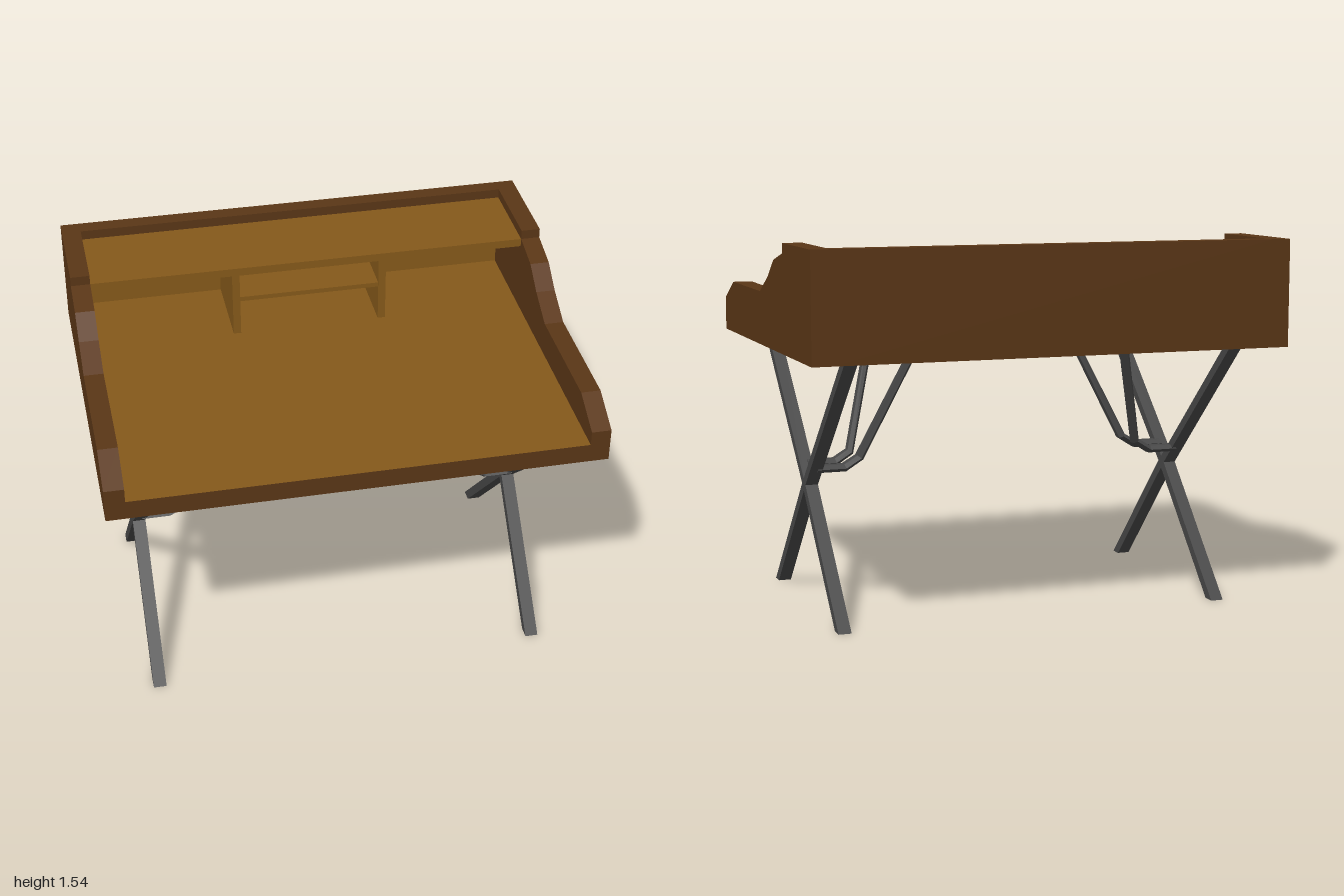
import * as THREE from 'three';

const brown = new THREE.MeshStandardMaterial({ color: 0x5a3616, flatShading: true });
const tan = new THREE.MeshStandardMaterial({ color: 0x85591a, flatShading: true });
const steel = new THREE.MeshStandardMaterial({ color: 0x484848, flatShading: true });

const D = 0.747;      // half depth of the desk body
const IN = 0.92;      // inner face of the side panels
const BACK = -0.68;   // inner face of the back wall
const SHELF = -0.315; // front edge of the upper shelf

export function createModel() {
  const desk = new THREE.Group();
  desk.name = 'writingDesk';

  const add = (name, geometry, material) => {
    const mesh = new THREE.Mesh(geometry, material);
    mesh.name = name;
    desk.add(mesh);
    return mesh;
  };
  // box given by its extents
  const box = (name, x0, x1, y0, y1, z0, z1, material) =>
    add(name, new THREE.BoxGeometry(x1 - x0, y1 - y0, z1 - z0)
      .translate((x0 + x1) / 2, (y0 + y1) / 2, (z0 + z1) / 2), material);

  // writing surface: light top, dark edges
  box('writingSurface', -IN, IN, 1.1, 1.18, BACK, D, [brown, brown, tan, brown, brown, brown]);
  box('backWall', -IN, IN, 1.1, 1.54, -D, BACK, brown);

  // stepped side panels, outlined in (z, y)
  const outline = [[D, 1.1], [D, 1.24], [0.585, 1.32], [0.08, 1.32], [-0.06, 1.39], [-0.165, 1.465],
    [SHELF, 1.5], [SHELF, 1.54], [-D, 1.54], [-D, 1.1]];
  const profile = new THREE.Shape(outline.map(([z, y]) => new THREE.Vector2(-z, y)));
  for (const [name, x] of [['leftSidePanel', IN], ['rightSidePanel', -1]]) {
    const g = new THREE.ExtrudeGeometry(profile, { depth: 1 - IN, bevelEnabled: false });
    add(name, g.rotateY(Math.PI / 2).translate(x, 0, 0), brown);
  }

  // pigeonholes under the upper shelf
  box('upperShelf', -IN, IN, 1.465, 1.5, BACK, SHELF, tan);
  box('pigeonholeBack', -IN, IN, 1.18, 1.465, BACK, BACK + 0.005, tan);
  box('rightDivider', -0.33, -0.298, 1.18, 1.465, BACK, SHELF, tan);
  box('leftDivider', 0.298, 0.33, 1.18, 1.465, BACK, SHELF, tan);
  box('smallShelf', -0.298, 0.298, 1.337, 1.357, BACK, SHELF - 0.003, tan);

  // crossed legs and bent braces, mirrored about x = 0 and z = MID
  const MID = 0.012;
  const square = [[-1, -1], [1, -1], [1, 1], [-1, 1]];
  const hexagon = [[-1, 0], [-0.45, 1], [0.45, 1], [1, 0], [0.45, -1], [-0.45, -1]];
  const legPath = [
    { p: [0.817, 0, -0.495], v: [0.027, 0] },
    { p: [0.817, 0.515, 0], v: [0.027, 0] },
    { p: [0.817, 1.1, 0.633], v: [0.027, 0] },
  ];
  const bracePath = [
    { p: [0.81, 0.59, 0.075], v: [0, 0.015] },
    { p: [0.69, 0.59, 0.075], v: [0.004, 0.015] },
    { p: [0.625, 0.63, 0.077], v: [0.012, 0.009] },
    { p: [0.46, 1.1, 0.318], v: [0.015, 0] },
  ];
  for (const sx of [1, -1]) {
    for (const sz of [1, -1]) {
      const name = (sz > 0 ? 'front' : 'back') + (sx > 0 ? 'Left' : 'Right');
      add(name + 'Leg', bar(legPath, square, 0.027, sx, sz, MID), steel);
      add(name + 'Brace', bar(bracePath, hexagon, 0.04, sx, sz, MID), steel);
    }
  }
  return desk;
}

// Bar through path points p; the section spans z by halfZ and the xy direction v.
function bar(path, section, halfZ, sx, sz, mid) {
  const n = section.length, pos = [], index = [];
  for (const { p, v } of path) {
    for (const [a, b] of section) {
      pos.push(sx * (p[0] + b * v[0]), p[1] + b * v[1], mid + sz * (p[2] + a * halfZ));
    }
  }
  const tri = (a, b, c) => index.push(a, b, c);
  for (let i = 0; i < path.length - 1; i++) {
    for (let j = 0; j < n; j++) {
      const a = i * n + j, b = i * n + (j + 1) % n;
      tri(a, b, b + n);
      tri(a, b + n, a + n);
    }
  }
  const last = (path.length - 1) * n;
  for (let j = 1; j < n - 1; j++) {
    tri(0, j + 1, j);
    tri(last, last + j, last + j + 1);
  }
  // turn the faces outward when the enclosed volume is negative
  const P = (i) => new THREE.Vector3().fromArray(pos, i * 3);
  let volume = 0;
  for (let i = 0; i < index.length; i += 3) {
    volume += P(index[i]).dot(P(index[i + 1]).cross(P(index[i + 2])));
  }
  if (volume < 0) index.reverse();
  let g = new THREE.BufferGeometry();
  g.setAttribute('position', new THREE.Float32BufferAttribute(pos, 3));
  g.setIndex(index);
  g = g.toNonIndexed();
  g.computeVertexNormals();
  return g;
}
